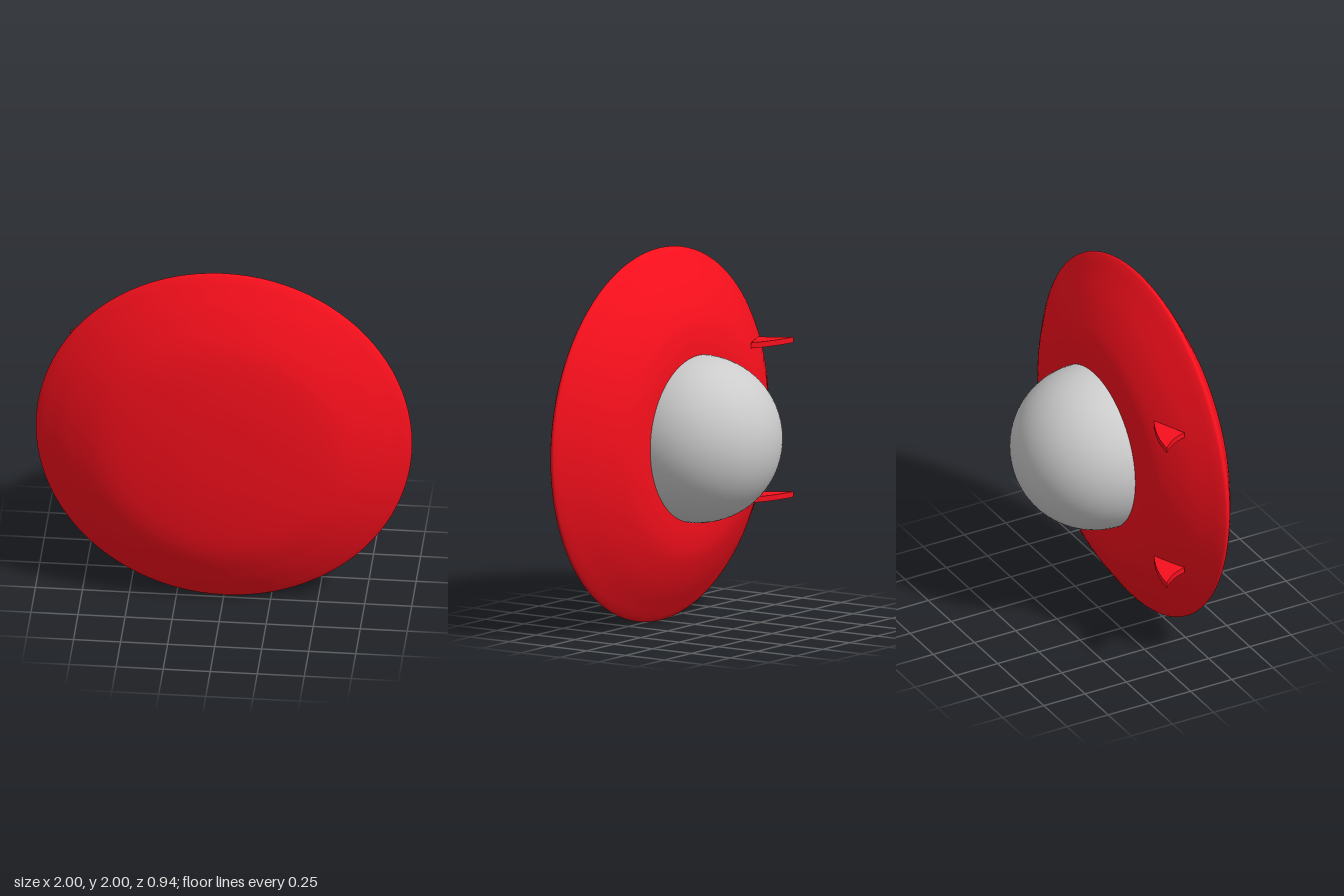
import * as THREE from 'three';

const red = new THREE.MeshStandardMaterial({ color: 0xf50f1c });
const grey = new THREE.MeshStandardMaterial({ color: 0xcccccc });

function part(name, geometry, material, y, z = 0) {
  const mesh = new THREE.Mesh(geometry, material);
  mesh.name = name;
  mesh.position.set(0, y, z);
  return mesh;
}

// Lens-shaped body turned about the z axis: [radius, distance towards the back]
function hullGeometry() {
  const profile = new THREE.SplineCurve([
    [0, -0.473], [0.3, -0.463], [0.6, -0.425], [0.8, -0.35], [0.93, -0.28],
    [0.985, -0.245], [1, -0.225], [0.985, -0.205], [0.93, -0.165],
    [0.8, -0.08], [0.65, -0.008], [0.54, 0.018], [0.45, 0.025],
  ].map(([r, h]) => new THREE.Vector2(r, h)));
  const points = profile.getPoints(72);
  points[0].x = 0;
  points.push(new THREE.Vector2(0, 0.025));
  return new THREE.LatheGeometry(points, 96).rotateX(-Math.PI / 2);
}

// Swept fin drawn in the x-z plane and given thickness along y
function finGeometry() {
  const thickness = 0.03;
  const shape = new THREE.Shape();
  shape.moveTo(-0.56, 0.025);
  shape.quadraticCurveTo(-0.7, -0.05, -0.842, -0.055);
  shape.quadraticCurveTo(-0.765, 0.015, -0.748, 0.105);
  shape.closePath();
  return new THREE.ExtrudeGeometry(shape, { depth: thickness, bevelEnabled: false, curveSegments: 12 })
    .translate(0, 0, -thickness / 2)
    .rotateX(Math.PI / 2);
}

export function createModel() {
  const model = new THREE.Group();
  model.name = 'flyingSaucer';

  model.add(part('hull', hullGeometry(), red, 1));

  // Cockpit dome bulging towards the back
  const dome = new THREE.SphereGeometry(0.447, 64, 24, 0, Math.PI * 2, 0, Math.PI / 2).rotateX(-Math.PI / 2);
  model.add(part('dome', dome, grey, 1, -0.025));

  // Pair of fins above and below the centre line
  for (const side of [1, -1]) {
    model.add(part(side > 0 ? 'upperFin' : 'lowerFin', finGeometry(), red, 1 + side * 0.415));
  }
  return model;
}
